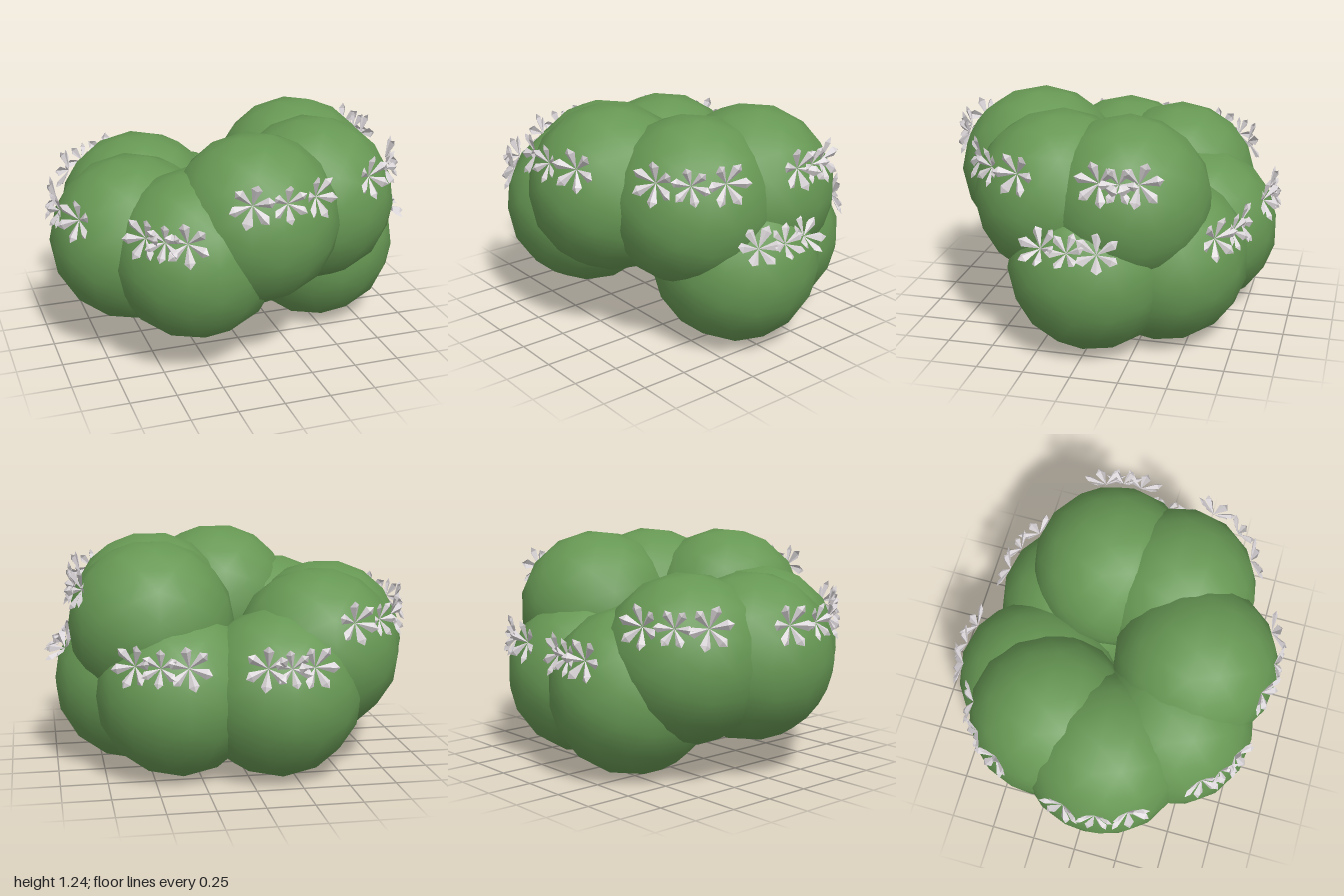
import * as THREE from 'three';

const leafGreen = new THREE.MeshStandardMaterial({ color: 0x679854 });
leafGreen.name = 'leafGreen';
const petalWhite = new THREE.MeshStandardMaterial({ color: 0xdad5d8, side: THREE.DoubleSide });
petalWhite.name = 'petalWhite';

const RADIUS = 0.455;

// Leafy clumps: centre, then compass angle and spacing (degrees) of the row of flowers
const CLUMPS = [
  { name: 'frontClump', at: [0.03, 0.805, 0.42], angle: 4, step: 25 },
  { name: 'frontLeftClump', at: [0.44, 0.795, 0.2], angle: 50, step: 25 },
  { name: 'backLeftClump', at: [0.475, 0.795, -0.17], angle: 98, step: 14 },
  { name: 'lowLeftClump', at: [0.55, 0.455, -0.01], angle: 86, step: 21, tilt: 0.7 },
  { name: 'lowBackLeftClump', at: [0.35, 0.455, -0.35], angle: 160, step: 20 },
  { name: 'lowBackClump', at: [-0.17, 0.455, -0.445], angle: 178, step: 17 },
  { name: 'backRightClump', at: [-0.42, 0.64, -0.28], angle: -141, step: 24 },
  { name: 'rightClump', at: [-0.54, 0.63, 0.06], angle: -81, step: 25 },
  { name: 'frontRightClump', at: [-0.28, 0.625, 0.375], angle: -38, step: 16 },
];

// Six creased, wedge-shaped petals opening like a shallow cup around +z
function flowerGeometry() {
  const pos = [];
  for (let i = 0; i < 6; i++) {
    const a = (i / 6) * Math.PI * 2 + Math.PI / 2;
    const p = (along, across, z) => [
      along * Math.cos(a) - across * Math.sin(a),
      along * Math.sin(a) + across * Math.cos(a), z];
    const base = p(0, 0, -0.02), ridge = p(0.085, 0, 0.03), tip = p(0.118, 0, 0.03);
    const sideA = p(0.092, -0.028, 0.012), sideB = p(0.092, 0.028, 0.012);
    for (const tri of [[base, sideA, ridge], [sideA, tip, ridge], [base, ridge, sideB], [ridge, tip, sideB]])
      for (const v of tri) pos.push(...v);
  }
  const g = new THREE.BufferGeometry();
  g.setAttribute('position', new THREE.Float32BufferAttribute(pos, 3));
  g.computeVertexNormals();
  return g;
}

export function createModel() {
  const model = new THREE.Group();
  model.name = 'floweringBush';
  const ball = new THREE.IcosahedronGeometry(RADIUS, 2);
  const bloom = flowerGeometry();
  const rise = 0.225;
  const reach = Math.sqrt(RADIUS ** 2 - rise ** 2) + 0.03;

  CLUMPS.forEach(({ name, at, angle, step, tilt = 0.12 }, i) => {
    const clump = new THREE.Mesh(ball, leafGreen);
    clump.name = name;
    clump.position.set(...at);
    model.add(clump);

    // Three blossoms in a row, facing outwards; the middle one is smaller
    for (const k of [-1, 0, 1]) {
      const turn = THREE.MathUtils.degToRad(angle + k * step);
      const flower = new THREE.Mesh(bloom, petalWhite);
      flower.name = 'flower';
      flower.position.set(Math.sin(turn) * reach, rise, Math.cos(turn) * reach).add(clump.position);
      flower.rotation.set(-tilt, turn, (i + k) * 0.25, 'YXZ');
      flower.scale.setScalar(k === 0 ? 0.85 : 1);
      model.add(flower);
    }
  });
  return model;
}
